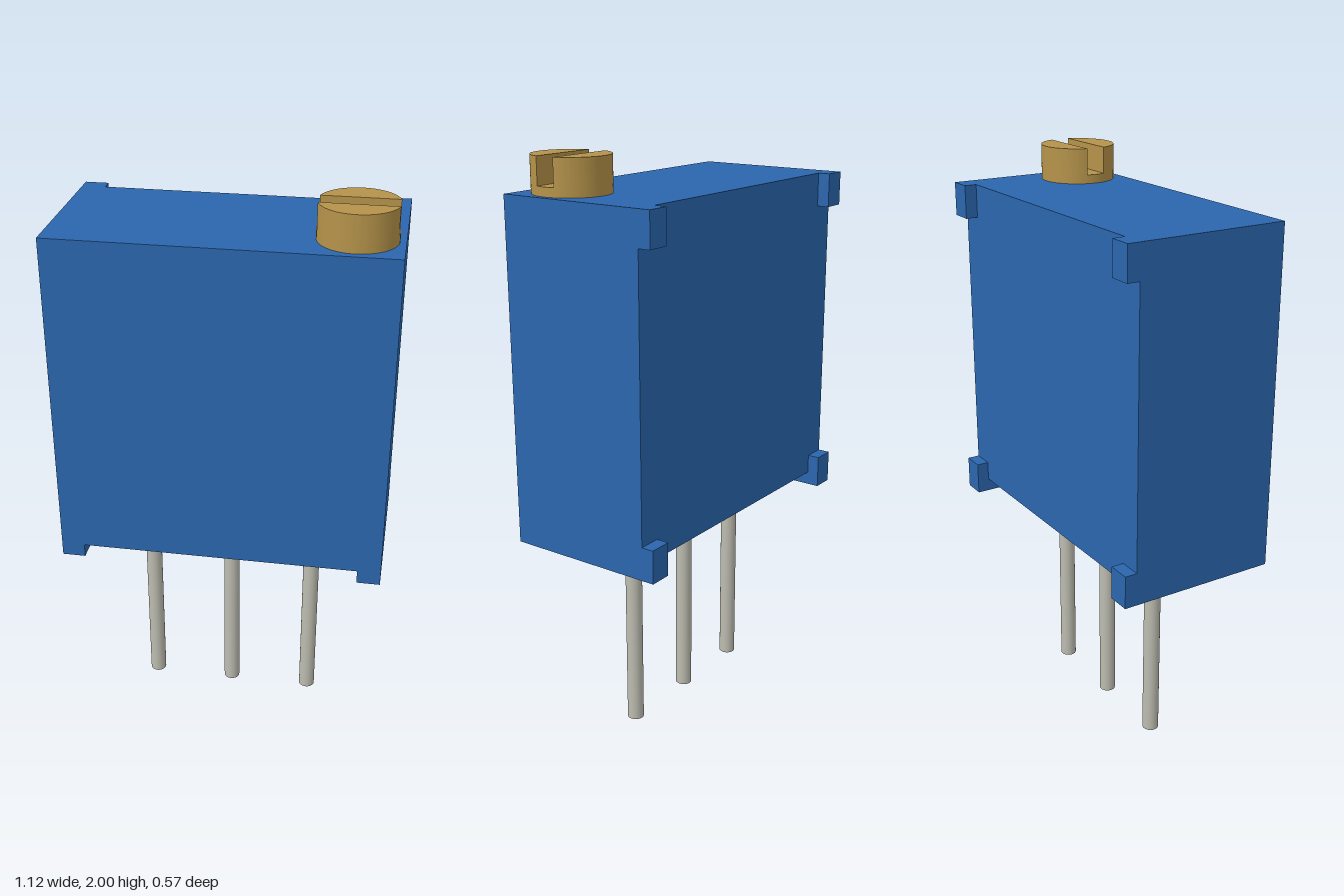
import * as THREE from 'three';
import { toCreasedNormals } from 'three/addons/utils/BufferGeometryUtils.js';

const blue = new THREE.MeshStandardMaterial({ color: 0x2a66ad });
const brass = new THREE.MeshStandardMaterial({ color: 0xb5934a });
const steel = new THREE.MeshStandardMaterial({ color: 0xbcbcb0 });

const W = 0.558, BOTTOM = 0.71, TOP = 1.88, FRONT = 0.283, BACK = -0.24;
const FOOT_X = 0.478, FOOT_Y = 0.757, REAR = -0.283;

function add(parent, name, geometry, material, x = 0, y = 0, z = 0) {
  const mesh = new THREE.Mesh(geometry, material);
  mesh.name = name;
  mesh.position.set(x, y, z);
  parent.add(mesh);
  return mesh;
}

// Box body with a raised underside between two side feet
function buildHousing() {
  const housing = new THREE.Group();
  housing.name = 'housing';
  const outline = new THREE.Shape([
    [-W, BOTTOM], [-FOOT_X, BOTTOM], [-FOOT_X, FOOT_Y], [FOOT_X, FOOT_Y],
    [FOOT_X, BOTTOM], [W, BOTTOM], [W, TOP], [-W, TOP],
  ].map(([x, y]) => new THREE.Vector2(x, y)));
  const body = new THREE.ExtrudeGeometry(outline, { depth: FRONT - BACK, bevelEnabled: false });
  add(housing, 'body', body, blue, 0, 0, BACK);

  // Standoff nubs on the four rear corners
  const width = W - FOOT_X, height = 0.115, depth = BACK - REAR;
  for (const side of [-1, 1]) {
    for (const y of [BOTTOM + height / 2, TOP - height / 2]) {
      add(housing, 'rearStandoff', new THREE.BoxGeometry(width, height, depth), blue,
        side * (W - width / 2), y, (BACK + REAR) / 2);
    }
  }
  return housing;
}

// Slotted adjustment screw: a disc carrying two circular segments
function buildScrew() {
  const screw = new THREE.Group();
  screw.name = 'adjustmentScrew';
  screw.position.set(0.41, TOP, 0.131);
  const r = 0.128, halfSlot = 0.033, floor = 0.03, height = 0.12;
  add(screw, 'screwBase', new THREE.CylinderGeometry(r, r, floor, 48), brass, 0, floor / 2, 0);

  const a = Math.asin(halfSlot / r);
  const segment = new THREE.Shape();
  segment.absarc(0, 0, r, a, Math.PI - a, false);
  segment.closePath();
  const half = new THREE.ExtrudeGeometry(segment, {
    depth: height - floor, bevelEnabled: false, curveSegments: 24,
  });
  half.rotateX(-Math.PI / 2);
  const smoothHalf = toCreasedNormals(half, 0.5);
  for (const turn of [0, Math.PI]) {
    add(screw, 'screwHeadHalf', smoothHalf, brass, 0, floor, 0).rotation.y = turn;
  }
  return screw;
}

export function createModel() {
  const model = new THREE.Group();
  model.name = 'trimmerPotentiometer';
  model.add(buildHousing(), buildScrew());

  // Three round terminal pins
  for (const x of [-0.297, 0, 0.297]) {
    add(model, 'pin', new THREE.CylinderGeometry(0.029, 0.029, FOOT_Y, 24), steel, x, FOOT_Y / 2, 0);
  }
  return model;
}
